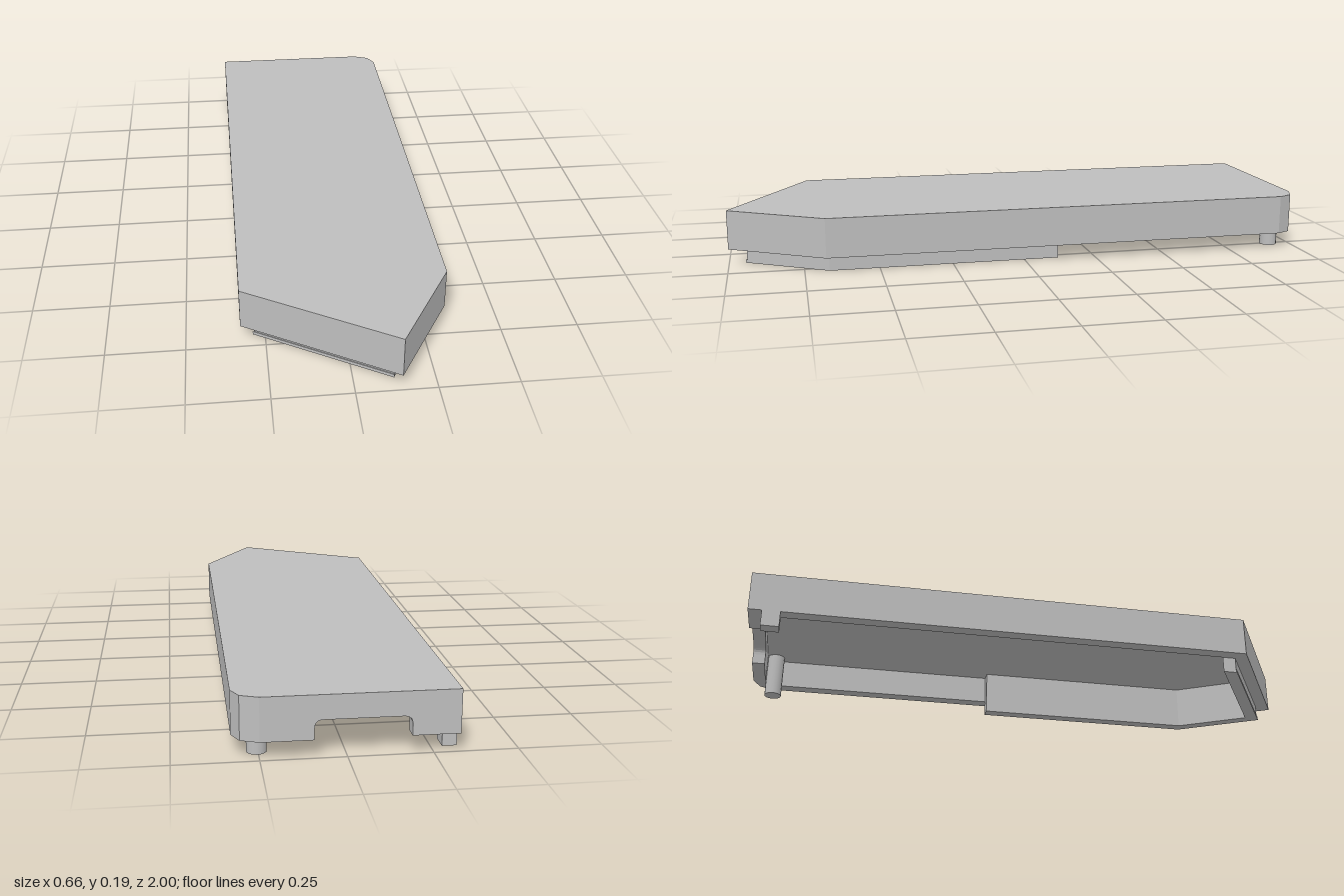
import * as THREE from 'three';

const grey = new THREE.MeshStandardMaterial({ color: 0xbebebe });
grey.name = 'plain grey';

const CEILING = 0.155, RIM = 0.055, TOP = 0.19;

// Shape from [x, z] points, drawn so that it can be laid flat
const planShape = (pts) => new THREE.Shape(pts.map(([x, z]) => new THREE.Vector2(x, -z)));

// Upright prism over a plan outline, from y0 to y1
function prism(name, pts, y0, y1) {
  const g = new THREE.ExtrudeGeometry(planShape(pts), { depth: y1 - y0, bevelEnabled: false });
  g.rotateX(-Math.PI / 2).translate(0, y0, 0);
  const mesh = new THREE.Mesh(g, grey);
  mesh.name = name;
  return mesh;
}

// Moves each corner of an open path inwards by d (path runs with the inside on its left)
function inset(path, d) {
  const normal = ([ax, az], [bx, bz]) => {
    const l = Math.hypot(bx - ax, bz - az);
    return [(bz - az) / l, -(bx - ax) / l];
  };
  return path.map((p, i) => {
    const n1 = normal(path[Math.max(i - 1, 0)], path[Math.max(i, 1)]);
    const last = path.length - 1;
    const n2 = normal(path[Math.min(i, last - 1)], path[Math.min(i + 1, last)]);
    const k = d / (1 + n1[0] * n2[0] + n1[1] * n2[1]);
    return [p[0] - (n1[0] + n2[0]) * k, p[1] - (n1[1] + n2[1]) * k];
  });
}

export function createModel() {
  const model = new THREE.Group();
  model.name = 'cover';

  // Outline from the back right corner round the point to the back left corner
  const outer = [[-0.328, -1], [-0.328, 0.718], [0.141, 1], [0.328, 0.68],
    [0.328, -0.93], [0.305, -0.978], [0.25, -1]];
  // Pick the sign that moves the corners towards the middle
  const sign = inset(outer, 0.01)[1][0] > outer[1][0] ? 1 : -1;
  const wallInner = inset(outer, 0.044 * sign);
  const lipInner = inset(outer, 0.084 * sign);

  // Top plate
  model.add(prism('topPlate', outer, CEILING, TOP));

  // Side walls around the point and the rounded corner
  model.add(prism('sideWall', [...outer, ...wallInner.slice().reverse()], RIM, CEILING));

  // Back wall with a round-cornered notch
  const s = new THREE.Shape();
  const nL = -0.186, nR = 0.095, nT = 0.115, r = 0.025;
  s.moveTo(-0.328, RIM);
  s.lineTo(nL, RIM);
  s.lineTo(nL, nT - r);
  s.quadraticCurveTo(nL, nT, nL + r, nT);
  s.lineTo(nR - r, nT);
  s.quadraticCurveTo(nR, nT, nR, nT - r);
  s.lineTo(nR, RIM);
  s.lineTo(0.25, RIM);
  s.lineTo(0.25, CEILING);
  s.lineTo(-0.328, CEILING);
  const backGeo = new THREE.ExtrudeGeometry(s, { depth: 0.044, bevelEnabled: false, curveSegments: 5 });
  const backWall = new THREE.Mesh(backGeo.translate(0, 0, -1), grey);
  backWall.name = 'backWall';
  model.add(backWall);

  // Locating lip inside the wall, round the point and part way along the left side
  const END = -0.12;
  const [, a, b, c] = wallInner;
  const [, , e, f] = lipInner;
  const slope = (1 - 0.718) / (0.141 + 0.328);
  const innerStart = [a[0], e[1] - (e[0] - a[0]) * slope];
  model.add(prism('lip', [a, b, c, [c[0], END], [f[0], END], f, e, innerStart], 0, CEILING));

  // Small ridge along the foot of the lip
  model.add(prism('lipFoot', [[a[0] - 0.005, a[1]], [b[0], b[1] + 0.004], b, a], 0, 0.011));

  // Pegs at the back: a square one on the right, a round one on the left
  const squarePeg = new THREE.Mesh(new THREE.BoxGeometry(0.044, 0.06, 0.06), grey);
  squarePeg.position.set(-0.306, 0.03, -0.925);
  squarePeg.name = 'squarePeg';
  const roundPeg = new THREE.Mesh(new THREE.CylinderGeometry(0.03, 0.03, CEILING, 16), grey);
  roundPeg.position.set(0.254, CEILING / 2, -0.925);
  roundPeg.name = 'roundPeg';
  model.add(squarePeg, roundPeg);

  return model;
}
